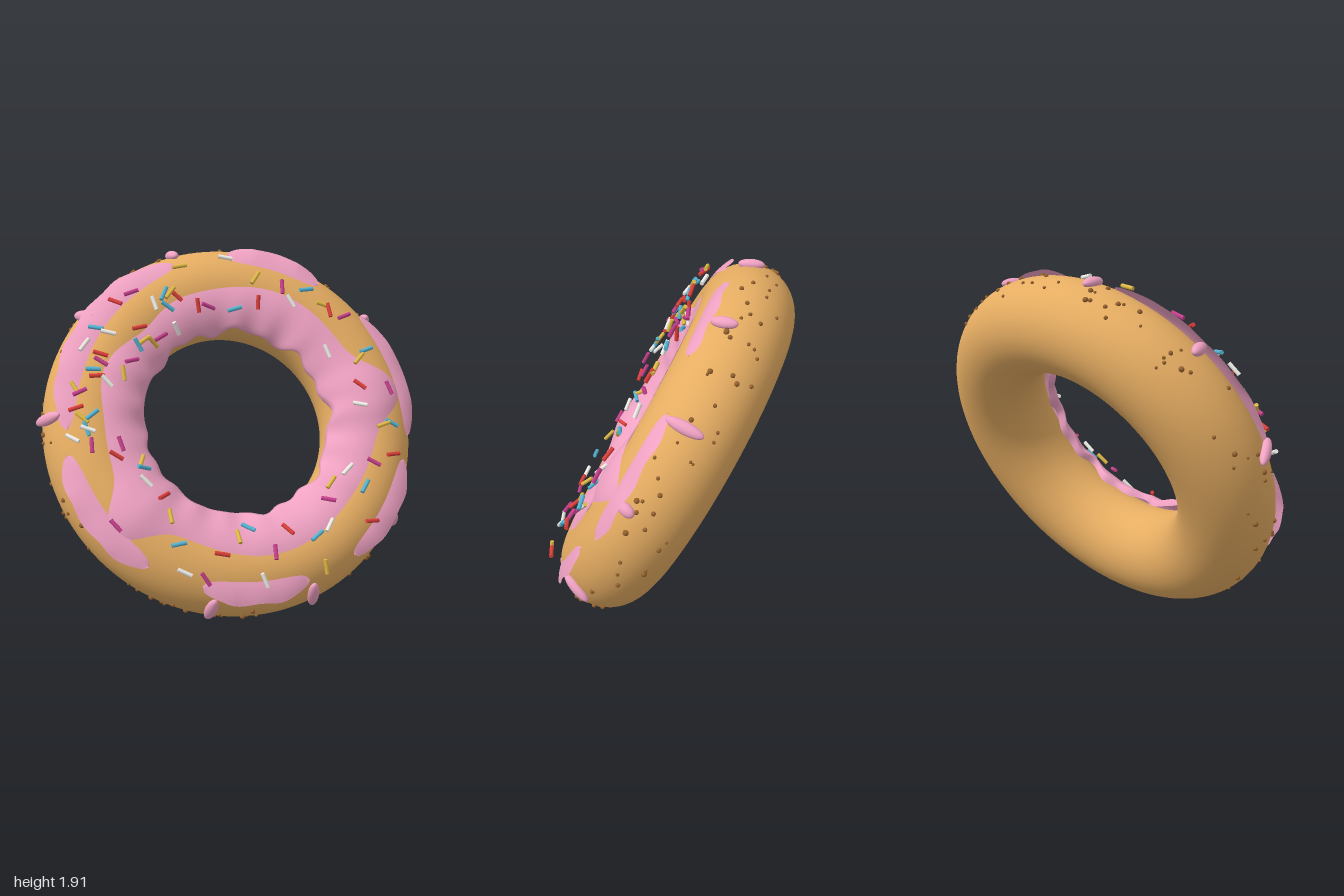
import * as THREE from 'three';

const R = 0.778, r = 0.25, RAD = Math.PI / 180;
const mat = (color, side = THREE.FrontSide) =>
  new THREE.MeshStandardMaterial({ color, side });

// Ring coordinates: theta round the ring, phi round the tube (0 = outside, 90 = iced crown)
function ringPoint(theta, phi, d) {
  const t = theta * RAD, p = phi * RAD, q = R + d * Math.cos(p);
  return new THREE.Vector3(q * Math.cos(t), q * Math.sin(t), d * Math.sin(p));
}

// Turns a part so its y runs round the tube, its z points outward and its x follows the ring
function layOnTube(mesh, theta, phi, d) {
  const out = ringPoint(theta, phi, 1).sub(ringPoint(theta, phi, 0));
  const along = ringPoint(theta, phi + 90, 1).sub(ringPoint(theta, phi + 90, 0));
  const side = new THREE.Vector3().crossVectors(along, out);
  mesh.quaternion.setFromRotationMatrix(new THREE.Matrix4().makeBasis(side, along, out));
  mesh.position.copy(ringPoint(theta, phi, d));
}

// Sheet over the tube between two phi limits, raised by lift(t, theta)
function sheet(name, t0, t1, from, to, lift, nu, nv, material) {
  const pos = [], idx = [];
  for (let i = 0; i <= nu; i++) {
    const th = t0 + (t1 - t0) * i / nu, a = from(th), b = to(th);
    for (let j = 0; j <= nv; j++) {
      const t = j / nv;
      pos.push(...ringPoint(th, a + (b - a) * t, r + lift(t, th)).toArray());
      if (i < nu && j < nv) {
        const k = i * (nv + 1) + j, m = k + nv + 1;
        idx.push(k, m, k + 1, m, m + 1, k + 1);
      }
    }
  }
  const g = new THREE.BufferGeometry();
  g.setAttribute('position', new THREE.Float32BufferAttribute(pos, 3));
  g.setIndex(idx);
  g.computeVertexNormals();
  const mesh = new THREE.Mesh(g, material);
  mesh.name = name;
  return mesh;
}

// Outer boundary of the inner icing band: level crown line with bulges [theta, width, reach]
const BULGES = [[-3, 11, 48], [207, 10, 45], [149, 14, 8], [122, 14, -14]];
const bandEdge = th => BULGES.reduce((phi, [c, w, reach]) => {
  const off = THREE.MathUtils.euclideanModulo(th - c + 180, 360) - 180;
  return phi - reach * Math.exp(-((off / w) ** 2));
}, 99 + 3 * Math.sin(5 * th * RAD));

// Icing patches near the outer rim: [centre theta, half width, inner phi, outer phi]
const PATCHES = [[133, 37, 70, 41], [60, 17, 66, 40], [3, 22, 52, 29], [-47, 19, 60, 38],
  [-102, 18, 67, 43], [200, 22, 64, 38]];

// Icing drips: [theta, phi, half length]
const DRIPS = [[23.6, 16, 0.1], [-3.5, 27, 0.05], [-46, 23, 0.09], [-83, 28, 0.1], [-115, 24, 0.09],
  [56, 30, 0.07], [93.5, 25, 0.07], [130, 33, 0.09], [165, 27, 0.11]];

const SPRINKLES = { red: 0xdc3f3a, yellow: 0xe0ba45, blue: 0x55b4d2, white: 0xf0eee8, magenta: 0xc63f8c };

function seeded(seed) {
  return () => (seed = (seed * 16807) % 2147483647) / 2147483647;
}

export function createModel() {
  const model = new THREE.Group();
  const donut = new THREE.Group();
  donut.name = 'donut';
  model.add(donut);

  // Lean of the ring: local z is its axis
  const n = new THREE.Vector3(-0.33, 0.46, 0.825).normalize();
  const v = new THREE.Vector3(0, n.z, -n.y).normalize();
  const u = new THREE.Vector3().crossVectors(v, n);
  donut.quaternion.setFromRotationMatrix(new THREE.Matrix4().makeBasis(u, v, n));
  donut.position.set(0, 0.94, -0.03);

  // Dough
  const dough = new THREE.Mesh(new THREE.TorusGeometry(R, r, 48, 144), mat(0xe6ad62));
  dough.name = 'dough';
  donut.add(dough);

  // Inner icing band, rising towards its wavy edge over the hole and folding back to the dough
  const pink = mat(0xf0a2c3, THREE.DoubleSide);
  const wave = th => 153 + 4 * Math.sin(9 * th * RAD) + 3 * Math.sin(17 * th * RAD + 1);
  donut.add(sheet('icingBand', -95, 265, bandEdge, wave,
    (t, th) => t > 0.99 ? 0.03 : 0.002 + 0.06 * Math.min(1, t * 1.15) + 0.004 * t * Math.sin(21 * th * RAD),
    288, 20, pink));

  // Outer icing patches with a raised lip
  for (const [c, hw, pIn, pOut] of PATCHES) {
    const mid = (pIn + pOut) / 2, half = (pIn - pOut) / 2;
    const w = th => half * Math.sqrt(Math.max(0, 1 - ((th - c) / hw) ** 4));
    donut.add(sheet('icingPatch', c - hw, c + hw, th => mid - w(th) * (1 + 0.12 * Math.sin(th * 0.45)),
      th => mid + w(th), (t, th) => 0.002 + 0.042 * (1 - t) * Math.min(1, 1.2 - ((th - c) / hw) ** 2),
      48, 8, pink));
  }

  // Drips lying over the outer rim
  const dripGeo = new THREE.SphereGeometry(1, 20, 14);
  for (const [theta, phi, len] of DRIPS) {
    const drip = new THREE.Mesh(dripGeo, pink);
    drip.name = 'icingDrip';
    layOnTube(drip, theta, phi, r + 0.008);
    drip.scale.set(0.032, len, 0.028);
    donut.add(drip);
  }

  // Sprinkles hovering just over the icing, a quarter of them crowded on the upper left
  const rand = seeded(4711);
  const rodGeo = new THREE.CylinderGeometry(0.011, 0.011, 0.078, 10);
  const colors = Object.entries(SPRINKLES).map(([name, color]) => [name + 'Sprinkle', mat(color)]);
  for (let i = 0; i < 80; i++) {
    const [name, material] = colors[i % colors.length];
    const theta = i < 60 ? i * 6 + rand() * 6 : 100 + (i - 60) * 4 + rand() * 4;
    const rod = new THREE.Mesh(rodGeo, material);
    rod.name = name;
    layOnTube(rod, theta, 64 + rand() * 64, 0.305 + rand() * 0.016);
    rod.rotateZ(rand() * Math.PI);
    donut.add(rod);
  }

  // Crumbs scattered round the outer side
  const crumbGeo = new THREE.SphereGeometry(1, 10, 8), brown = mat(0x96622f);
  for (let i = 0; i < 110; i++) {
    const crumb = new THREE.Mesh(crumbGeo, brown);
    crumb.name = 'crumb';
    crumb.position.copy(ringPoint(rand() * 360, -32 + rand() * 62, r + 0.002));
    crumb.scale.setScalar(0.007 + rand() * 0.008);
    donut.add(crumb);
  }
  return model;
}
